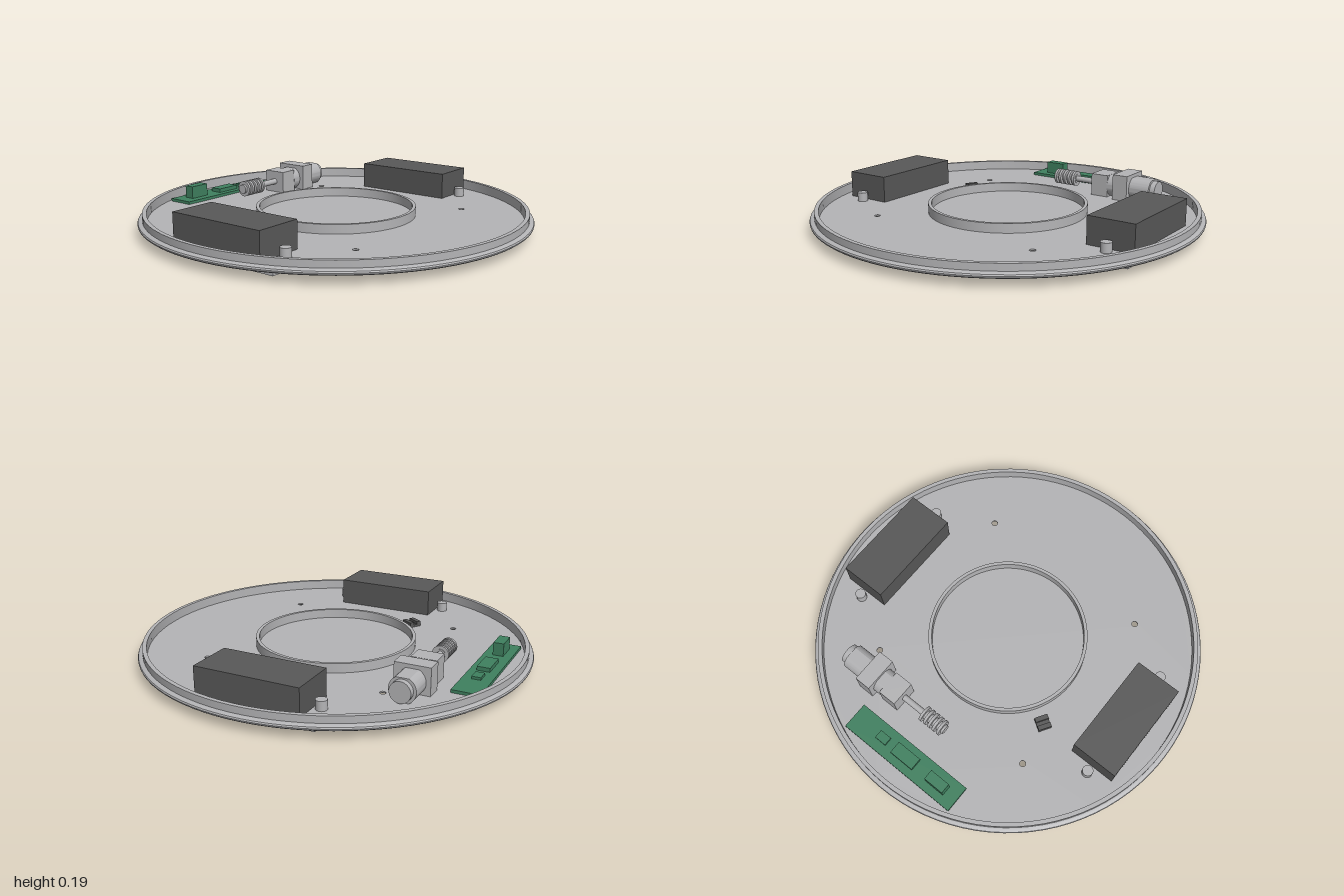
import * as THREE from 'three';
import { toCreasedNormals } from 'three/addons/utils/BufferGeometryUtils.js';

const material = (name, color, side = THREE.FrontSide) => {
  const m = new THREE.MeshStandardMaterial({ color, side });
  m.name = name;
  return m;
};

export function createModel() {
  const grey = material('light grey plastic', 0xb4b4b6, THREE.DoubleSide);
  const dark = material('dark grey', 0x585858);
  const green = material('circuit green', 0x3f805f);
  const root = new THREE.Group();
  const FLOOR = 0.055;

  const add = (name, geo, mat, x = 0, y = 0, z = 0, parent = root) => {
    const m = new THREE.Mesh(geo, mat);
    m.name = name;
    m.position.set(x, y, z);
    parent.add(m);
    return m;
  };
  // box given by its x, y and z limits
  const block = (name, mat, x0, x1, y0, y1, z0, z1, parent) =>
    add(name, new THREE.BoxGeometry(x1 - x0, y1 - y0, z1 - z0), mat,
      (x0 + x1) / 2, (y0 + y1) / 2, (z0 + z1) / 2, parent);
  const lathe = (pts, seg = 96) => toCreasedNormals(
    new THREE.LatheGeometry(pts.map(p => new THREE.Vector2(...p)), seg), 0.6);
  // cylinder along x
  const rod = (name, r, x0, x1, y, z, parent) => {
    const m = add(name, new THREE.CylinderGeometry(r, r, x1 - x0, 32), grey, (x0 + x1) / 2, y, z, parent);
    m.rotation.z = Math.PI / 2;
    return m;
  };
  const corners = [[1, 1], [1, -1], [-1, 1], [-1, -1]];

  // floor in two layers, so the screw holes widen underneath
  const floorLayer = (name, holeRadius, y0, y1) => {
    const s = new THREE.Shape().absarc(0, 0, 0.96, 0, Math.PI * 2);
    for (const [sx, sz] of corners)
      s.holes.push(new THREE.Path().absarc(sx * 0.472, sz * 0.472, holeRadius, 0, Math.PI * 2, true));
    const g = new THREE.ExtrudeGeometry(s, { depth: y1 - y0, bevelEnabled: false, curveSegments: 48 });
    add(name, g.rotateX(-Math.PI / 2), grey, 0, y0, 0);
  };
  floorLayer('lowerFloor', 0.03, 0.04, 0.048);
  floorLayer('upperFloor', 0.015, 0.048, FLOOR);

  // outer rim with rounded skirt, and the inner ring
  add('rim', lathe([[0.95, 0.04], [0.975, 0.04], [0.99, 0.044], [0.998, 0.05], [1, 0.057],
    [0.997, 0.064], [0.987, 0.07], [0.976, 0.071], [0.976, 0.105], [0.955, 0.105], [0.955, 0.05]]), grey);
  add('centreRing', lathe([[0.41, 0.05], [0.41, 0.102], [0.393, 0.102], [0.393, 0.05]]), grey);

  // feet and countersinks
  const footGeo = lathe([[0, 0.005], [0.05, 0.005], [0.061, 0.009], [0.067, 0.018], [0.067, 0.042]], 32);
  footGeo.translate(0, -0.005, 0);
  const sinkGeo = new THREE.CylinderGeometry(0.015, 0.03, 0.008, 24, 1, true);
  for (const [sx, sz] of corners) {
    add('foot', footGeo, dark, sx * 0.553, 0, sz * 0.55);
    add('countersink', sinkGeo, grey, sx * 0.472, 0.044, sz * 0.472);
  }

  // side boxes with pegs above and cover plates below
  for (const s of [-1, 1]) {
    add('sideBox', new THREE.BoxGeometry(0.243, 0.192 - FLOOR, 0.533), dark, s * 0.743, (0.192 + FLOOR) / 2, -0.002);
    add('coverPlate', new THREE.BoxGeometry(0.265, 0.027, 0.69), grey, s * 0.743, 0.0265, 0);
    for (const z of [-0.308, 0.303])
      add('peg', new THREE.CylinderGeometry(0.027, 0.027, 0.047, 24), grey, s * 0.745, FLOOR + 0.0235, z);
  }

  // circuit board with chips
  const board = new THREE.Group();
  board.name = 'circuitBoard';
  root.add(board);
  block('board', green, -0.335, 0.335, FLOOR, 0.07, -0.88, -0.74, board);
  block('tallChip', green, -0.267, -0.157, 0.07, 0.135, -0.838, -0.785, board);
  block('wideChip', green, -0.07, 0.067, 0.07, 0.09, -0.84, -0.775, board);
  block('smallChip', green, 0.113, 0.177, 0.07, 0.083, -0.83, -0.785, board);

  // small turned sensor
  const sensor = new THREE.Group();
  sensor.name = 'sensor';
  sensor.position.set(-0.425, FLOOR, -0.25);
  sensor.rotation.y = -0.56;
  root.add(sensor);
  block('sensorBase', dark, -0.034, 0.034, 0, 0.012, -0.034, 0.034, sensor);
  for (const x of [-0.022, 0.022])
    block('sensorBar', dark, x - 0.012, x + 0.012, 0.012, 0.027, -0.034, 0.034, sensor);

  // motor with gearbox, shaft and worm, lying along x
  const drive = new THREE.Group();
  drive.name = 'motorDrive';
  root.add(drive);
  const ay = 0.115, az = -0.59;
  const flatSided = new THREE.Shape();
  flatSided.absarc(0, 0, 0.066, -1.08, 1.08);
  flatSided.absarc(0, 0, 0.066, Math.PI - 1.08, Math.PI + 1.08);
  const motorGeo = toCreasedNormals(new THREE.ExtrudeGeometry(flatSided,
    { depth: 0.25, bevelEnabled: false, curveSegments: 16 }), 0.5);
  add('motor', motorGeo.rotateY(Math.PI / 2), grey, 0.285, ay, az, drive);
  rod('motorCap', 0.052, 0.53, 0.563, ay, az, drive);
  block('gearbox', grey, 0.19, 0.288, FLOOR, 0.174, -0.656, -0.527, drive);
  block('motorBracket', grey, 0.335, 0.42, FLOOR, 0.192, -0.678, -0.5, drive);
  rod('shaft', 0.016, -0.078, 0.2, ay, az, drive);
  rod('wormCore', 0.025, -0.078, 0.062, ay, az, drive);
  for (let i = 0; i < 5; i++)
    rod('wormTooth', 0.042, -0.066 + i * 0.028, -0.052 + i * 0.028, ay, az, drive);

  return root;
}
